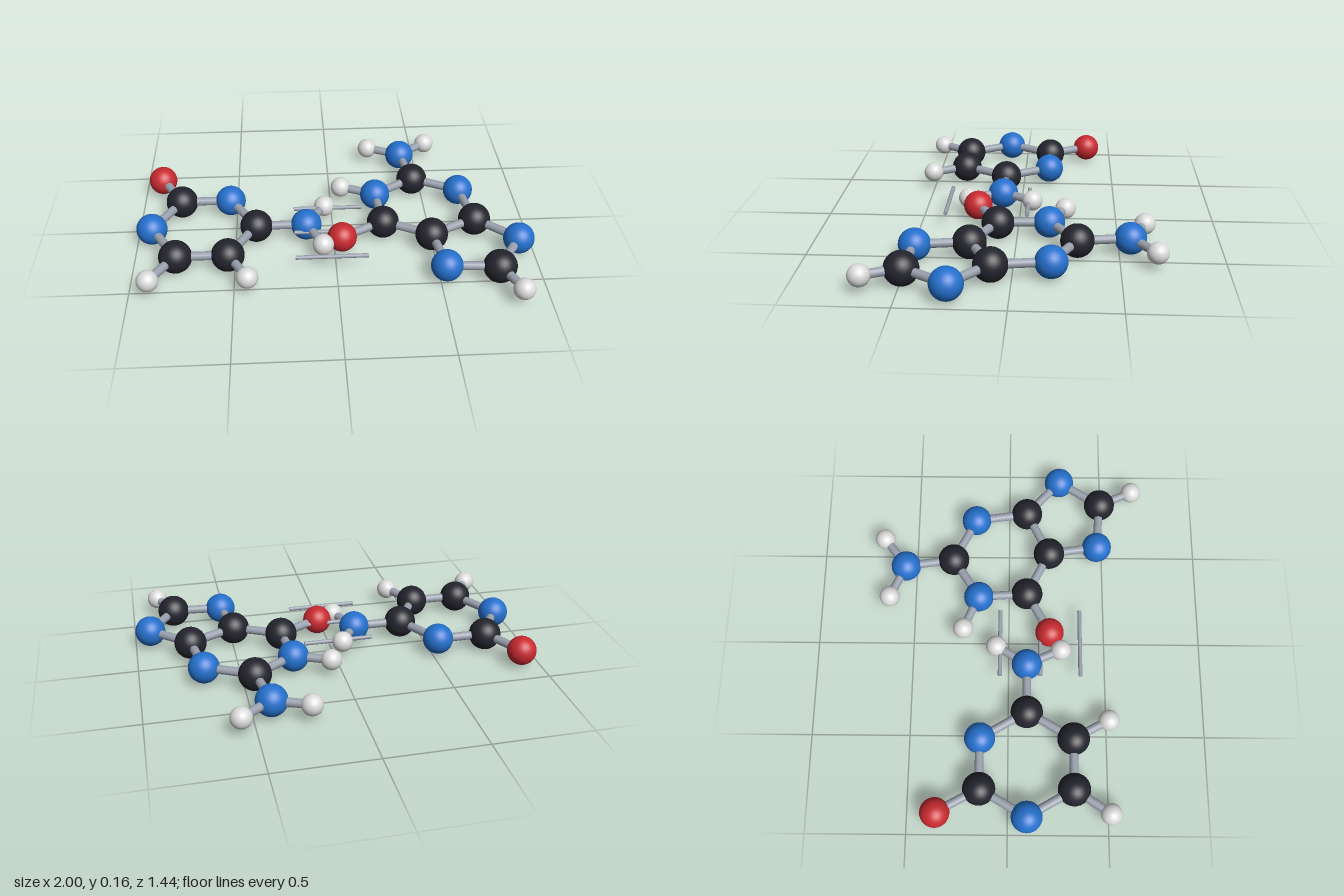
import * as THREE from 'three';

const mat = (name, color) => {
  const m = new THREE.MeshStandardMaterial({ color });
  m.name = name;
  return m;
};

export function createModel() {
  const model = new THREE.Group();
  model.name = 'basePair';
  const Y = 0.083; // height of the plane holding every atom

  const kinds = {
    C: { name: 'carbon', r: 0.082, material: mat('charcoal', 0x23232d) },
    N: { name: 'nitrogen', r: 0.078, material: mat('blue', 0x2470cc) },
    O: { name: 'oxygen', r: 0.074, material: mat('red', 0xc82a30) },
    H: { name: 'hydrogen', r: 0.053, material: mat('white', 0xdcdcdc) },
  };
  for (const k of Object.values(kinds)) k.geometry = new THREE.SphereGeometry(k.r, 32, 20);
  const grey = mat('bondGrey', 0x99a0ad);

  // Straight rod between two points [x, z] of the plane
  function rod(name, [x1, z1], [x2, z2], radius) {
    const a = new THREE.Vector3(x1, Y, z1), b = new THREE.Vector3(x2, Y, z2);
    const dir = b.clone().sub(a);
    const mesh = new THREE.Mesh(new THREE.CylinderGeometry(radius, radius, dir.length(), 16), grey);
    mesh.name = name;
    mesh.position.copy(a).add(b).multiplyScalar(0.5);
    mesh.quaternion.setFromUnitVectors(new THREE.Vector3(0, 1, 0), dir.normalize());
    return mesh;
  }

  // Atoms as [kind, x, z], bonds as index pairs
  function molecule(name, atoms, bonds) {
    const group = new THREE.Group();
    group.name = name;
    for (const [kind, x, z] of atoms) {
      const { name: label, geometry, material } = kinds[kind];
      const ball = new THREE.Mesh(geometry, material);
      ball.name = label + 'Atom';
      ball.position.set(x, Y, z);
      group.add(ball);
    }
    for (const [i, j] of bonds) group.add(rod('bond', atoms[i].slice(1), atoms[j].slice(1), 0.022));
    model.add(group);
  }

  // Six-sided ring with its side atoms
  molecule('singleRingBase', [
    ['C', -0.786, -0.142], ['N', -0.53, -0.142], ['C', -0.393, 0.094],
    ['C', -0.53, 0.329], ['C', -0.786, 0.329], ['N', -0.922, 0.094],
    ['O', -0.904, -0.356], ['H', -0.904, 0.508], ['H', -0.433, 0.508],
    ['N', -0.139, 0.094], ['H', -0.04, -0.065], ['H', -0.06, 0.27],
  ], [
    [0, 1], [1, 2], [2, 3], [3, 4], [4, 5], [5, 0],
    [0, 6], [4, 7], [3, 8], [2, 9], [9, 10], [9, 11],
  ]);

  // Fused six- and five-sided rings with their side atoms
  molecule('doubleRingBase', [
    ['C', 0.254, 0.094], ['N', 0.235, -0.16], ['C', 0.449, -0.298],
    ['N', 0.684, -0.179], ['C', 0.725, 0.094], ['C', 0.489, 0.212],
    ['N', 0.92, 0.27], ['C', 0.783, 0.488], ['N', 0.528, 0.468],
    ['O', 0.037, 0.212], ['H', 0.057, -0.239], ['N', 0.41, -0.552],
    ['H', 0.234, -0.632], ['H', 0.567, -0.67], ['H', 0.862, 0.663],
  ], [
    [0, 1], [1, 2], [2, 3], [3, 4], [4, 5], [5, 0],
    [4, 6], [6, 7], [7, 8], [8, 5],
    [0, 9], [1, 10], [2, 11], [11, 12], [11, 13], [7, 14],
  ]);

  // Three thin parallel links between the two bases
  for (const z of [-0.045, 0.163, 0.369]) model.add(rod('hydrogenLink', [-0.2, z], [0.157, z], 0.0105));

  return model;
}
